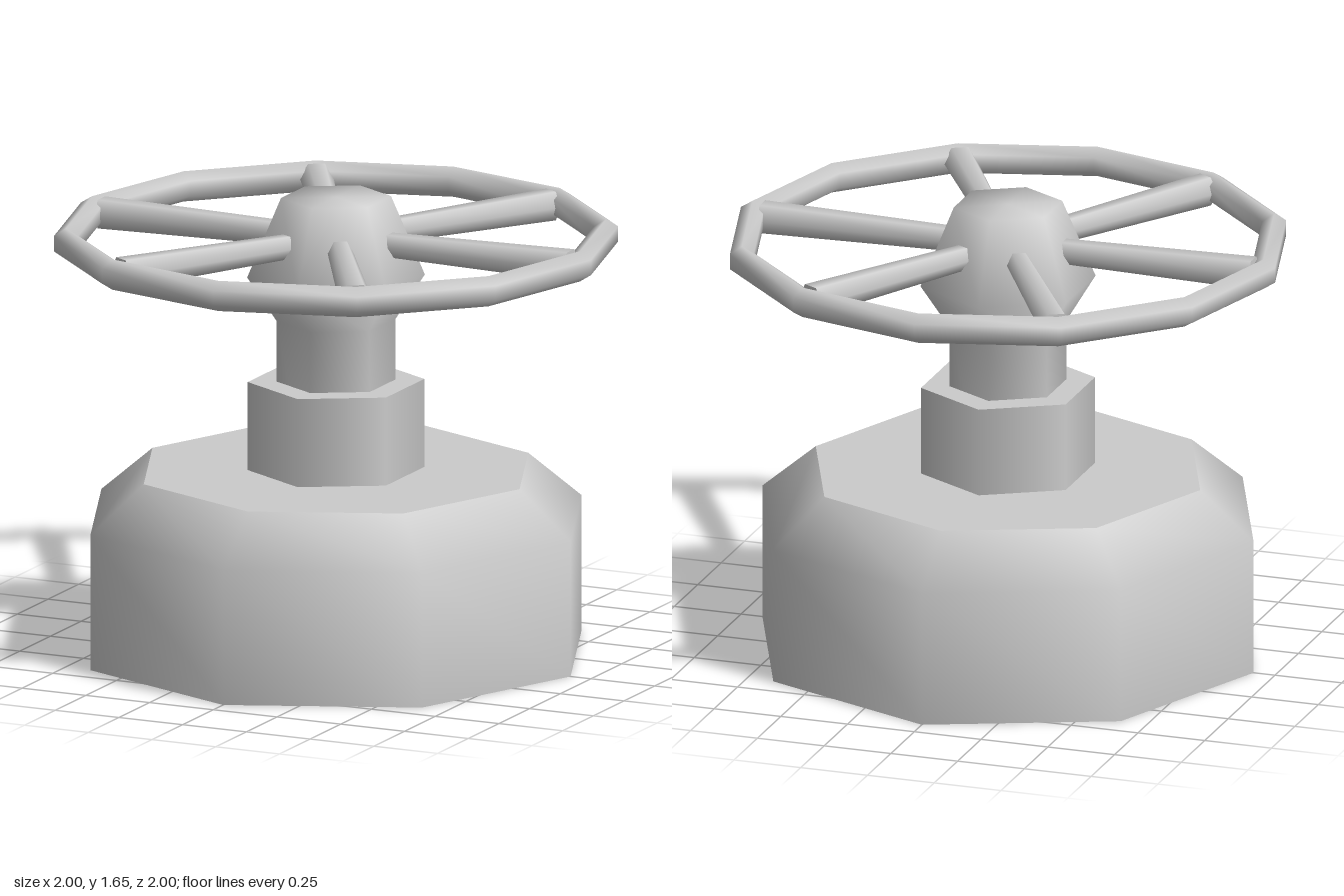
import * as THREE from 'three';

const material = new THREE.MeshStandardMaterial({ color: 0xcccccc, side: THREE.DoubleSide });

function addMesh(parent, name, geometry) {
  const mesh = new THREE.Mesh(geometry, material);
  mesh.name = name;
  parent.add(mesh);
  return mesh;
}

// Turned low-poly part from [radius, height] pairs, listed bottom to top
function turned(profile, sides) {
  return new THREE.LatheGeometry(profile.map(([r, y]) => new THREE.Vector2(r, y)), sides);
}

export function createModel() {
  const model = new THREE.Group();
  model.name = 'valve';

  // Hollow octagonal base, open underneath, with a crisp flat top
  const base = new THREE.Group();
  base.name = 'base';
  model.add(base);
  addMesh(base, 'baseShell', turned([[0.92, 0], [0.92, 0.49], [0.72, 0.66]], 8));
  addMesh(base, 'baseTop', turned([[0.72, 0.66], [0.2, 0.66]], 8));

  // Hexagonal collar, its lower end poking into the base
  const collar = new THREE.Group();
  collar.name = 'collar';
  model.add(collar);
  addMesh(collar, 'collarWall', turned([[0.313, 0.56], [0.313, 0.98]], 6));
  addMesh(collar, 'collarTop', turned([[0.313, 0.98], [0.15, 0.98]], 6));

  // Stem flaring into the wheel hub
  addMesh(model, 'stem', turned([
    [0.211, 0.62], [0.211, 1.2], [0.315, 1.36], [0.195, 1.647], [0, 1.647],
  ], 6));
  addMesh(model, 'stemBottom', turned([[0, 0.62], [0.211, 0.62]], 6));

  // Twelve-sided hand wheel
  const wheel = new THREE.Group();
  wheel.name = 'handWheel';
  wheel.position.y = 1.495;
  model.add(wheel);

  const section = [];
  for (let i = 0; i <= 6; i++) {
    const a = -Math.PI / 2 + (i / 6) * Math.PI * 2;
    section.push([0.957 + 0.05 * Math.cos(a), 0.055 * Math.sin(a)]);
  }
  addMesh(wheel, 'rim', turned(section, 12));

  // Six spokes, widening towards the rim
  for (let i = 0; i < 6; i++) {
    const geometry = new THREE.CylinderGeometry(0.06, 0.046, 0.71, 6);
    geometry.rotateZ(-Math.PI / 2);
    geometry.translate(0.565, 0, 0);
    addMesh(wheel, 'spoke', geometry).rotation.y = (i * Math.PI) / 3;
  }

  return model;
}
